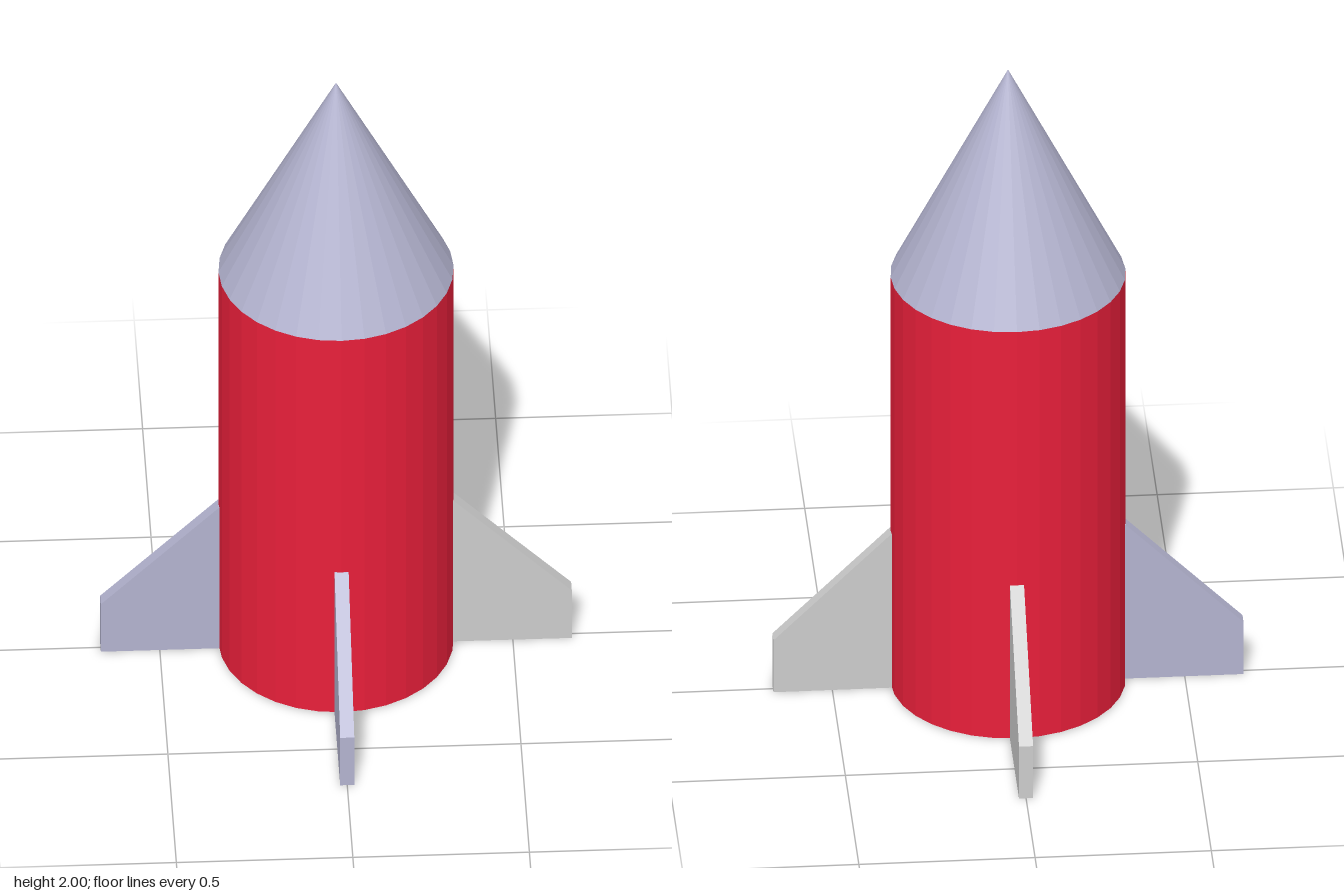
import * as THREE from 'three';

const SIDES = 32;
const RADIUS = 0.333;
const BODY_TOP = 1.333;
const BASE = 0.002; // body floor sits a hair above the fin soles
const FIN_THICKNESS = 0.04;

const paint = (color) => new THREE.MeshStandardMaterial({ color, flatShading: true });

function part(name, geometry, material) {
  const mesh = new THREE.Mesh(geometry, material);
  mesh.name = name;
  return mesh;
}

// Fin outline in the x/y plane, rooted near the rocket's axis, swept out along +x
function finGeometry() {
  const outline = new THREE.Shape([
    new THREE.Vector2(0.02, 0),
    new THREE.Vector2(0.667, 0),
    new THREE.Vector2(0.667, 0.17),
    new THREE.Vector2(RADIUS, 0.503),
    new THREE.Vector2(0.02, 0.503),
  ]);
  const geometry = new THREE.ExtrudeGeometry(outline, { depth: FIN_THICKNESS, bevelEnabled: false });
  return geometry.translate(0, 0, -FIN_THICKNESS / 2);
}

export function createModel() {
  const rocket = new THREE.Group();
  rocket.name = 'rocket';

  const red = paint(0xe81f3a);
  const blueGrey = paint(0xb3b3cf);
  const grey = paint(0xcccccc);

  // Cylindrical hull
  const hullHeight = BODY_TOP - BASE;
  const body = part('body', new THREE.CylinderGeometry(RADIUS, RADIUS, hullHeight, SIDES), red);
  body.position.y = BASE + hullHeight / 2;
  rocket.add(body);

  // Pointed nose
  const noseHeight = 2 - BODY_TOP;
  const nose = part('noseCone', new THREE.ConeGeometry(RADIUS, noseHeight, SIDES), blueGrey);
  nose.position.y = BODY_TOP + noseHeight / 2;
  rocket.add(nose);

  // Four fins, a quarter turn apart
  const finShape = finGeometry();
  const fins = [
    ['leftFin', grey],
    ['backFin', grey],
    ['rightFin', blueGrey],
    ['frontFin', blueGrey],
  ];
  fins.forEach(([name, material], i) => {
    const fin = part(name, finShape, material);
    fin.rotation.y = (i * Math.PI) / 2;
    rocket.add(fin);
  });

  return rocket;
}
